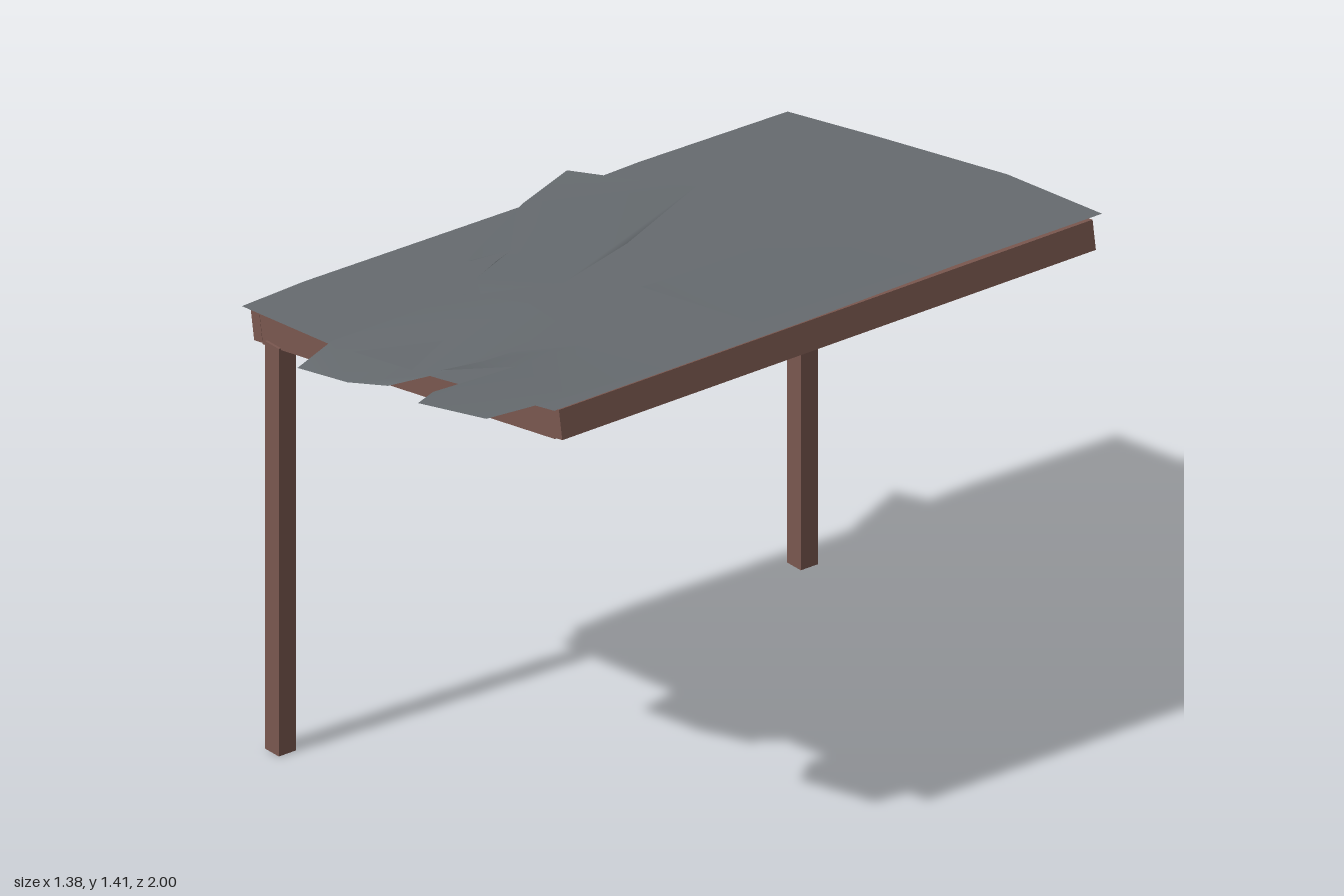
import * as THREE from 'three';

const SLOPE = 0.17;
const FRAME_TOP = 1.29; // height of the frame's top plane at x = 0

export function createModel() {
  const model = new THREE.Group();
  model.name = 'leanToShelter';

  const wood = new THREE.MeshStandardMaterial({ color: 0x7a574f });
  wood.name = 'brown wood';
  const roofing = new THREE.MeshStandardMaterial({ color: 0x666b6f, side: THREE.DoubleSide });
  roofing.name = 'grey roofing';

  function box(parent, name, w, h, d, x, y, z) {
    const mesh = new THREE.Mesh(new THREE.BoxGeometry(w, h, d), wood);
    mesh.name = name;
    mesh.position.set(x, y, z);
    parent.add(mesh);
  }

  // Posts under the low side
  for (const [name, z] of [['frontPost', 0.7425], ['backPost', -0.9125]]) {
    box(model, name, 0.056, 1.135, 0.055, -0.47, 0.5675, z);
  }

  // Tilted frame, its top lying on local y = 0
  const frame = new THREE.Group();
  frame.name = 'roofFrame';
  frame.position.y = FRAME_TOP;
  frame.rotation.z = Math.atan(SLOPE);
  model.add(frame);
  const H = 0.08, midZ = -0.082;
  for (const [name, x, len] of [['lowBeam', -0.553, 1.692], ['middleBeam', 0.05, 1.63], ['highBeam', 0.665, 1.692]]) {
    box(frame, name, 0.034, H, len, x, -H / 2, midZ);
  }
  for (const [name, z] of [['frontSideBeam', 0.746], ['backSideBeam', -0.91]]) {
    box(frame, name, 1.186, H + 0.004, 0.034, 0.056, -H / 2 - 0.002, z);
  }
  for (const z of [0.21, -0.38]) {
    box(frame, 'thinRafter', 1.19, 0.02, 0.016, 0.056, -0.01, z);
  }

  // Roofing sheets: outline points are [x, z, lift above the roof plane]
  function sheet(name, points) {
    const outline = points.map(([x, z]) => new THREE.Vector2(x, -z));
    const index = THREE.ShapeUtils.triangulateShape(outline, []).flat();
    const pos = points.flatMap(([x, z, lift = 0]) => [x, FRAME_TOP + 0.006 + SLOPE * x + lift, z]);
    const geo = new THREE.BufferGeometry();
    geo.setAttribute('position', new THREE.Float32BufferAttribute(pos, 3));
    // make every triangle face upward
    for (let i = 0; i < index.length; i += 3) {
      const [a, b, c] = [index[i], index[i + 1], index[i + 2]].map((k) => outline[k]);
      if ((b.x - a.x) * (c.y - a.y) - (b.y - a.y) * (c.x - a.x) < 0) {
        [index[i + 1], index[i + 2]] = [index[i + 2], index[i + 1]];
      }
    }
    geo.setIndex(index);
    geo.computeVertexNormals();
    const mesh = new THREE.Mesh(geo, roofing);
    mesh.name = name;
    model.add(mesh);
  }

  sheet('mainRoofSheet', [
    [-0.59, 0.77], [-0.18, 0.815], [0.24, 0.81], [0.68, 0.785], [0.68, 0],
    [0.665, -0.5], [0.67, -0.96], [0.24, -1], [-0.25, -0.98], [-0.59, -0.96],
    [-0.605, -0.5], [-0.59, -0.13], [-0.605, 0.56],
  ]);

  // Torn loose patch hanging over the low edge
  sheet('lowSidePatch', [
    [-0.69, -0.34, 0.008], [-0.42, -0.425, 0.006], [-0.32, -0.455, 0.01], [-0.12, -0.08, 0.015],
    [0.02, 0.23, 0.035], [-0.12, 0.385, 0.02], [-0.22, 0.32, 0.02], [-0.29, 0.2, 0.015],
    [-0.34, 0.11, 0.008], [-0.27, 0.3, 0.05], [-0.37, 0.23, 0.006], [-0.45, 0.13, -0.003],
    [-0.6, -0.13, 0.003],
  ]);

  // Patch drooping over the front edge
  sheet('frontPatch', [
    [-0.18, 0.39, 0.008], [0.03, 0.35, 0.016], [0.24, 0.395, 0.008], [0.24, 0.81, 0.01],
    [0.16, 0.9, -0.012], [0.04, 0.935, -0.018], [-0.14, 0.95, -0.014], [-0.18, 0.81, 0.008],
  ]);

  // Torn patch curling up at the high front corner
  sheet('cornerPatch', [
    [0.25, 0.67, 0.005], [0.32, 0.86, 0.055], [0.35, 0.65, 0.006], [0.34, 0.9, 0.012],
    [0.4, 0.995, 0.024], [0.61, 0.945, 0.012], [0.64, 0.7, 0.006], [0.66, 0.43, 0.003],
    [0.35, 0.45, 0.002], [0.25, 0.58, 0.002],
  ]);

  // Flat patch at the high side
  sheet('highSidePatch', [
    [0.15, 0.09, 0.008], [0.59, 0.085, 0.008], [0.605, -0.01, 0.005], [0.615, -0.43, 0.003],
    [0.15, -0.42, -0.002], [0.15, 0.02, 0.004],
  ]);

  return model;
}
